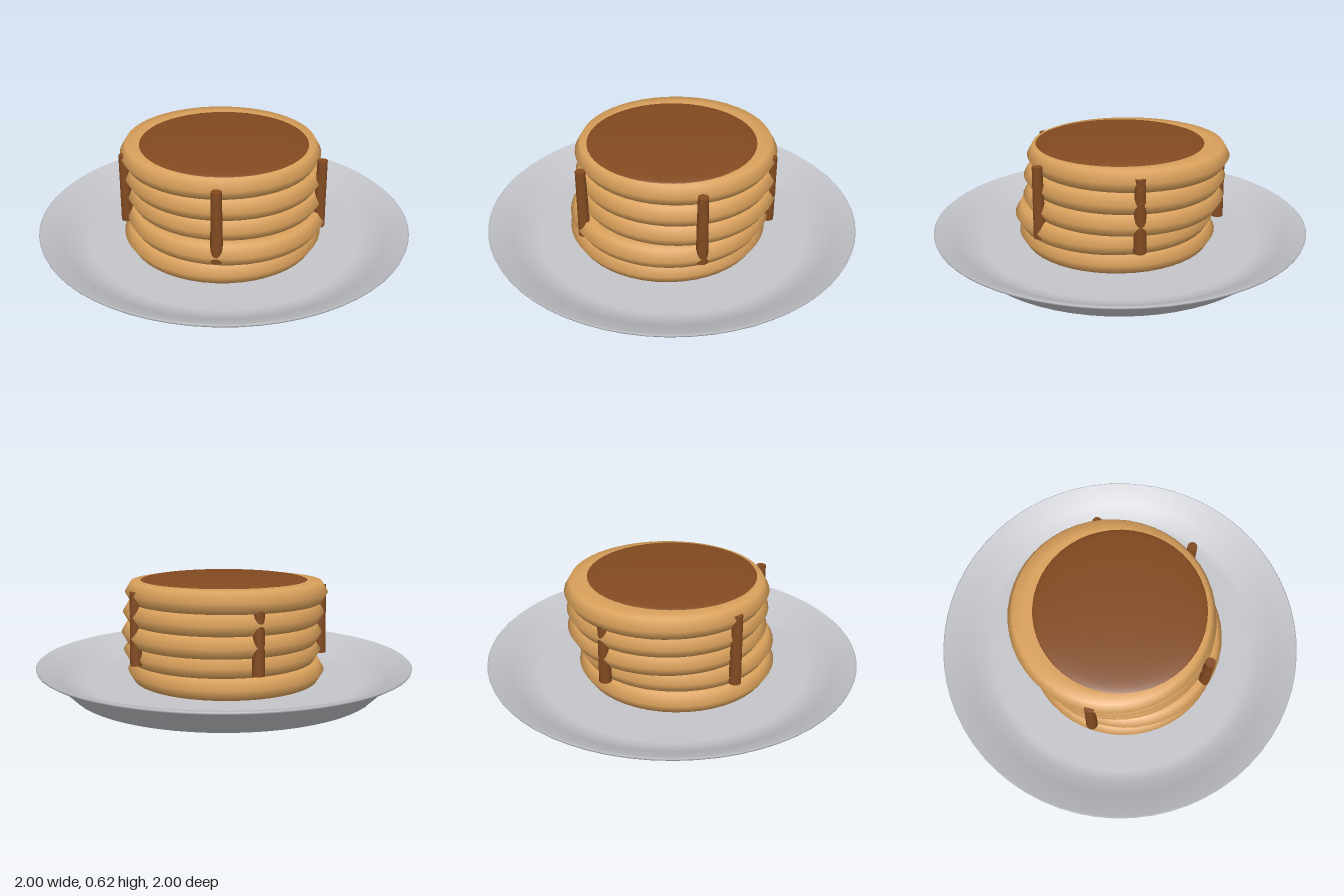
import * as THREE from 'three';

const mat = (name, color) => {
  const m = new THREE.MeshStandardMaterial({ color });
  m.name = name;
  return m;
};

const lathe = (points, segments) =>
  new THREE.LatheGeometry(points.map(([r, y]) => new THREE.Vector2(r, y)), segments);

export function createModel() {
  const group = new THREE.Group();
  const china = mat('grey china', 0xc4c5ca);
  const batter = mat('golden batter', 0xd9a05b);
  const sauce = mat('brown syrup', 0x824a20);

  const add = (name, geometry, material, x = 0, y = 0, z = 0) => {
    const mesh = new THREE.Mesh(geometry, material);
    mesh.name = name;
    mesh.position.set(x, y, z);
    group.add(mesh);
    return mesh;
  };

  // Dished plate: underside, flared wall, thin rim, inner slope and floor
  add('plate', lathe([
    [0, 0], [0.78, 0], [0.82, 0], [0.9, 0.08], [0.997, 0.138], [1, 0.148], [0.992, 0.155],
    [0.88, 0.095], [0.8, 0.045], [0.74, 0.04], [0, 0.04],
  ], 64), china);

  // Five pancakes with bevelled edges, each slightly off centre, bottom to top
  const half = 0.054;
  const pancake = lathe([
    [0, -half], [0.445, -half], [0.505, -half], [0.537, 0],
    [0.505, half], [0.445, half], [0, half],
  ], 48);
  const offsets = [[0, 0.025], [0.023, 0.022], [0, -0.027], [-0.01, -0.025], [-0.03, -0.031]];
  offsets.forEach(([x, z], i) => add('pancake' + (i + 1), pancake, batter, x, 0.098 + i * 0.108, z));

  // Syrup pool: shallow dome on top
  const dome = new THREE.SphereGeometry(0.45, 48, 12, 0, Math.PI * 2, 0, Math.PI / 2);
  dome.scale(1, 0.035 / 0.45, 1);
  add('syrupPool', dome, sauce, 0, 0.58, 0);

  // Syrup drips around the stack
  const drip = new THREE.CylinderGeometry(0.026, 0.032, 0.375, 16);
  for (let i = 0; i < 5; i++) {
    const a = THREE.MathUtils.degToRad(i * 75);
    add('syrupDrip' + (i + 1), drip, sauce, 0.53 * Math.cos(a), 0.3625, 0.53 * Math.sin(a));
  }
  return group;
}
